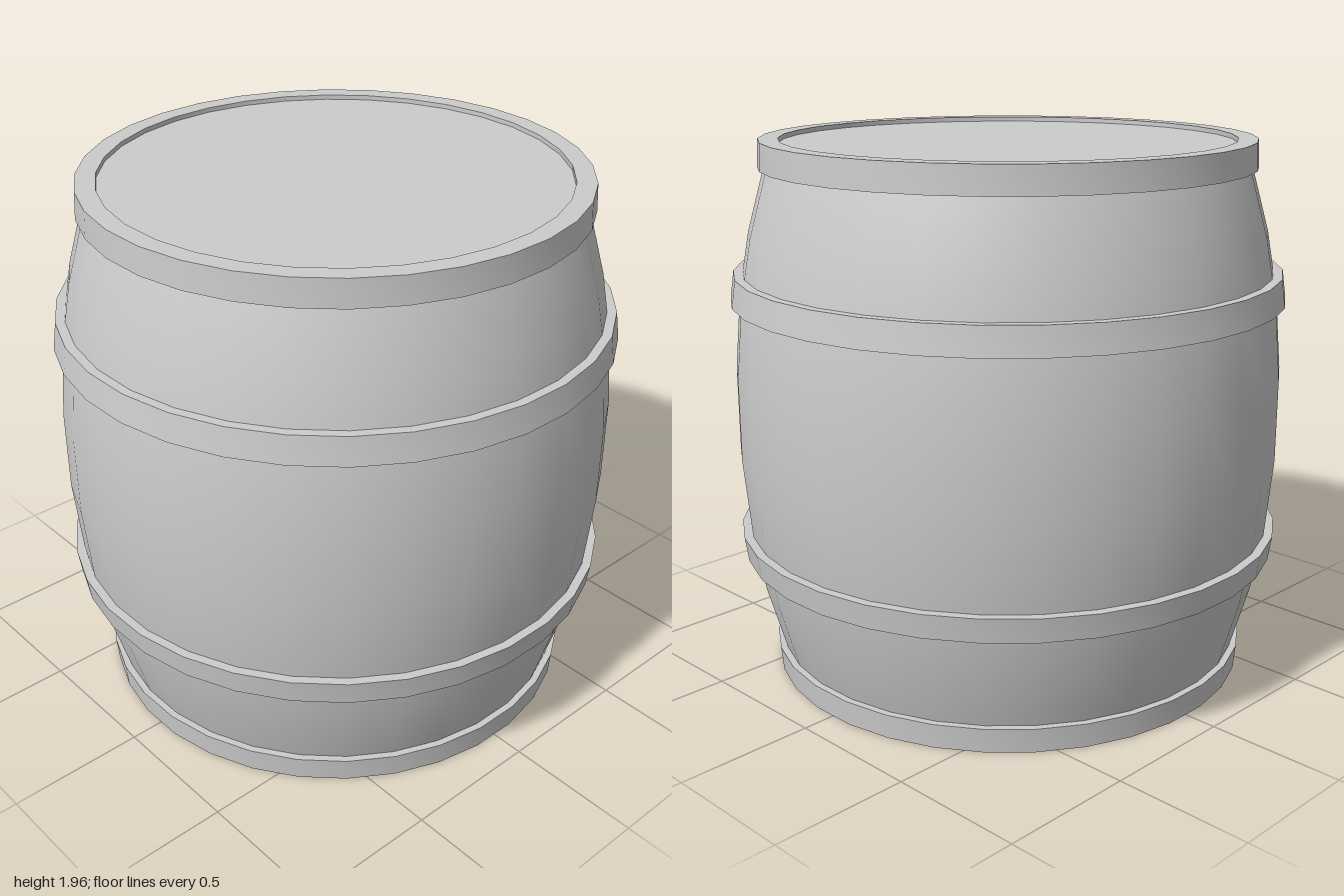
import * as THREE from 'three';
import { toCreasedNormals } from 'three/addons/utils/BufferGeometryUtils.js';

const SIDES = 32;
const HALF_STEP = Math.PI / SIDES;
const FLAT = 1 / Math.cos(HALF_STEP); // radii below are measured to the middle of each flat side

export function createModel() {
  const group = new THREE.Group();
  const material = new THREE.MeshStandardMaterial({ color: 0xcccccc });

  const add = (name, geometry) => {
    const mesh = new THREE.Mesh(geometry, material);
    mesh.name = name;
    group.add(mesh);
    return mesh;
  };

  // Revolve a [radius, y] profile, keeping the hoop corners sharp
  const revolve = (name, profile) => {
    const points = profile.map(([r, y]) => new THREE.Vector2(r * FLAT, y));
    return add(name, toCreasedNormals(new THREE.LatheGeometry(points, SIDES, HALF_STEP), 0.6));
  };

  const disc = (name, radius, y, up) => {
    const geometry = new THREE.CircleGeometry(radius * FLAT, SIDES, HALF_STEP);
    geometry.rotateX(up ? -Math.PI / 2 : Math.PI / 2);
    add(name, geometry).position.y = y;
  };

  // Bulging stave wall
  revolve('body', [
    [0.835, 0.02], [0.86, 0.09], [0.927, 0.33], [0.967, 0.55], [0.992, 0.83],
    [0.992, 1.13], [0.967, 1.41], [0.927, 1.63], [0.86, 1.87], [0.835, 1.94],
  ]);

  // Hoops: inner radius, bottom y, top y, outer radius at bottom and top
  const hoops = [
    ['bottomHoop', 0.81, 0, 0.09, 0.877, 0.885],
    ['lowerHoop', 0.92, 0.45, 0.54, 0.985, 0.998],
    ['upperHoop', 0.92, 1.39, 1.49, 1.0, 0.986],
    ['topHoop', 0.81, 1.86, 1.957, 0.885, 0.88],
  ];
  for (const [name, inner, y0, y1, r0, r1] of hoops) {
    revolve(name, [[inner, y0], [r0, y0], [r1, y1], [inner, y1], [inner, y0]]);
  }

  // Slightly recessed lid and flush base
  disc('lid', 0.812, 1.94, true);
  disc('base', 0.812, 0, false);

  return group;
}
